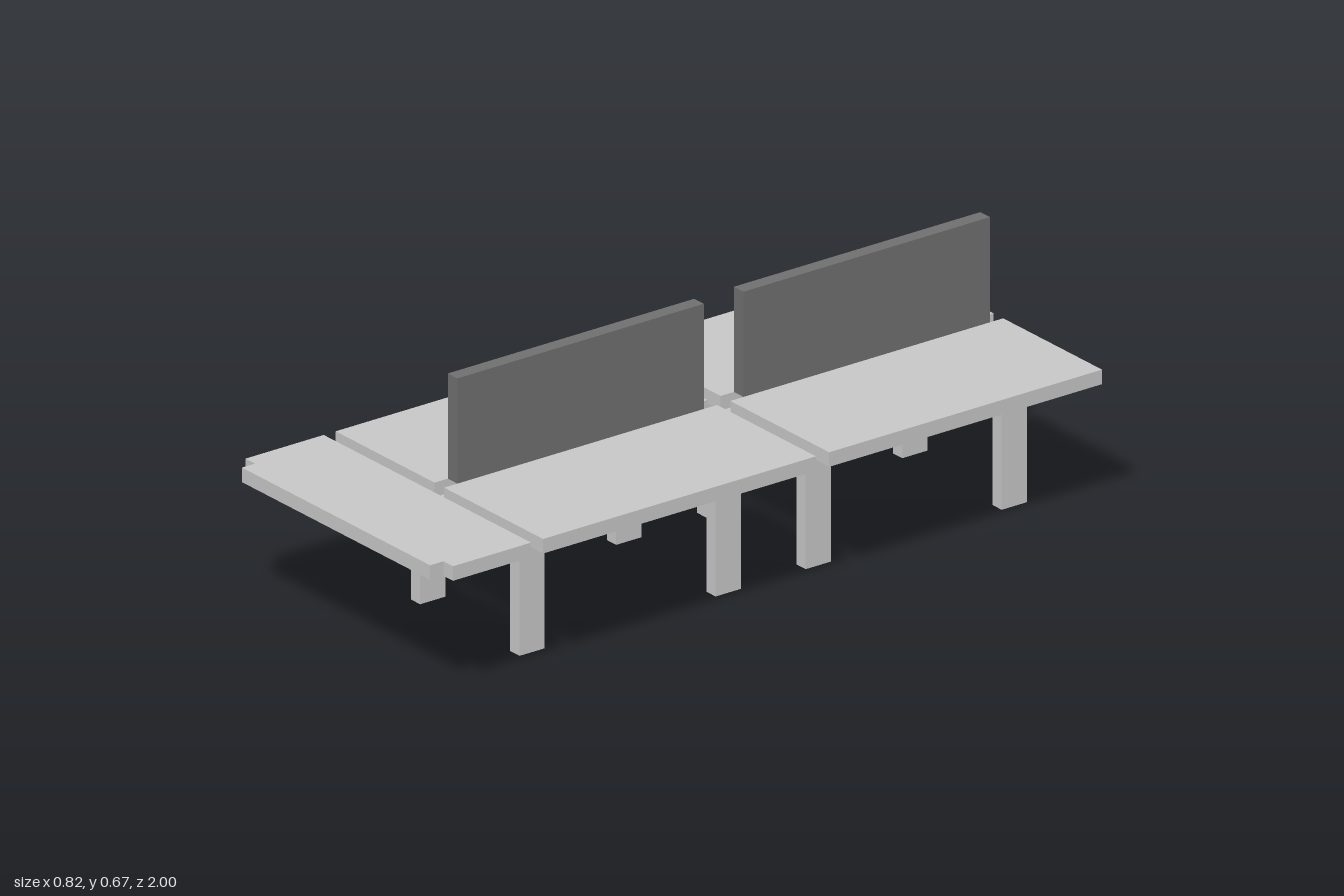
import * as THREE from 'three';

export function createModel() {
  const model = new THREE.Group();
  model.name = 'deskCluster';

  const lightGrey = new THREE.MeshStandardMaterial({ color: 0xc8c8c8 });
  lightGrey.name = 'lightGrey';
  const darkGrey = new THREE.MeshStandardMaterial({ color: 0x707070 });
  darkGrey.name = 'darkGrey';

  // Box given by its limits on each axis
  function box(parent, name, material, [x0, x1], [y0, y1], [z0, z1]) {
    const mesh = new THREE.Mesh(new THREE.BoxGeometry(x1 - x0, y1 - y0, z1 - z0), material);
    mesh.position.set((x0 + x1) / 2, (y0 + y1) / 2, (z0 + z1) / 2);
    mesh.name = name;
    parent.add(mesh);
  }
  // Interval mirrored to the other side when s is -1
  const side = (s, a, b) => (s > 0 ? [a, b] : [-b, -a]);

  const top = [0.355, 0.393];
  const rail = [0.237, 0.275];

  // Two double desks, one behind the other
  for (const z of [0.276, -0.588]) {
    const desk = new THREE.Group();
    desk.name = 'doubleDesk';
    desk.position.z = z;
    model.add(desk);

    for (const sx of [1, -1]) {
      box(desk, 'deskTop', lightGrey, side(sx, 0.019, 0.41), top, [-0.412, 0.412]);
    }
    box(desk, 'dividerPanel', darkGrey, [-0.019, 0.019], [0.393, 0.668], [-0.372, 0.372]);

    // End frames: thick legs, thinner posts above, and a cross rail
    for (const sz of [1, -1]) {
      const full = side(sz, 0.258, 0.334);
      const outer = side(sz, 0.296, 0.334);
      for (const sx of [1, -1]) {
        const x = side(sx, 0.178, 0.215);
        box(desk, 'leg', lightGrey, x, [0, rail[1]], full);
        box(desk, 'legPost', lightGrey, x, [rail[1], top[0]], outer);
      }
      box(desk, 'crossRail', lightGrey, [-0.178, 0.178], rail, full);
      box(desk, 'railBlock', lightGrey, [-0.02, 0.057], [rail[1], 0.314], outer);
    }
    box(desk, 'centreBeam', lightGrey, [-0.02, 0.057], rail, [-0.258, 0.258]);
  }

  // End table top with notched front corners
  const outline = new THREE.Shape(
    [[-0.41, -0.724], [-0.41, -0.96], [-0.372, -0.96], [-0.372, -1],
      [0.372, -1], [0.372, -0.96], [0.41, -0.96], [0.41, -0.724]]
      .map(([x, y]) => new THREE.Vector2(x, y)));
  const geometry = new THREE.ExtrudeGeometry(outline, { depth: top[1] - top[0], bevelEnabled: false });
  geometry.rotateX(-Math.PI / 2);
  const endTop = new THREE.Mesh(geometry, lightGrey);
  endTop.position.y = top[0];
  endTop.name = 'endTableTop';
  model.add(endTop);

  return model;
}
